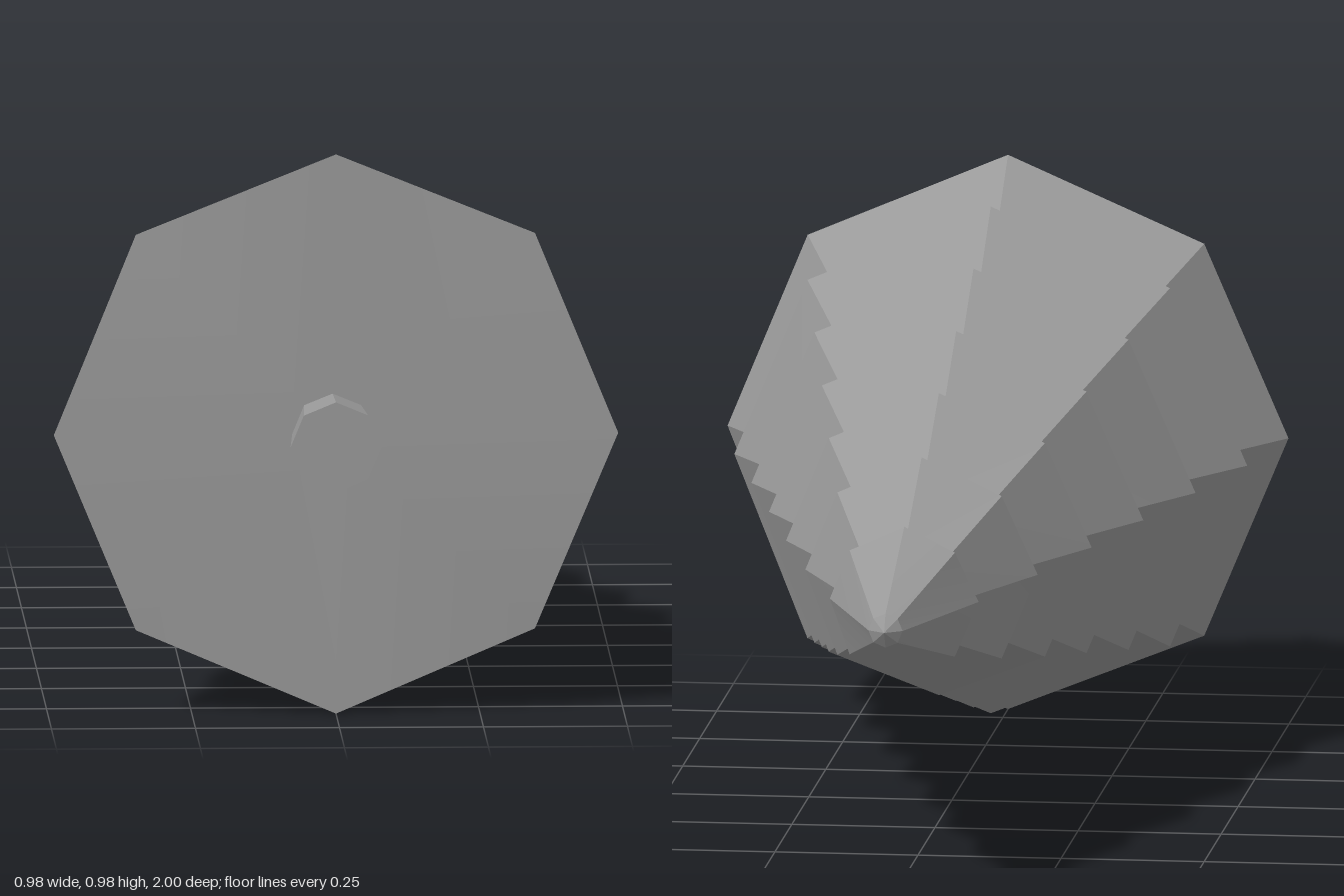
import * as THREE from 'three';
import { toCreasedNormals } from 'three/addons/utils/BufferGeometryUtils.js';

const SIDES = 8;
const material = new THREE.MeshStandardMaterial({ color: 0x999999 });

// Skins rings of [radius, z, zig]; odd corners are lifted toward the tip by zig.
// Rings run from the base (+z) to the tip (-z).
function skinRings(rings) {
  const pos = [];
  const point = ([r, z, zig = 0], j) => {
    const a = (j / SIDES) * Math.PI * 2;
    return [r * Math.cos(a), r * Math.sin(a), z - (j % 2 ? zig : 0)];
  };
  for (let i = 0; i < rings.length - 1; i++) {
    const lo = rings[i], hi = rings[i + 1];
    for (let j = 0; j < SIDES; j++) {
      const a = point(lo, j), b = point(lo, j + 1);
      const c = point(hi, j), d = point(hi, j + 1);
      if (lo[0] > 0) pos.push(...a, ...c, ...b);
      if (hi[0] > 0) pos.push(...b, ...c, ...d);
    }
  }
  const geo = new THREE.BufferGeometry();
  geo.setAttribute('position', new THREE.Float32BufferAttribute(pos, 3));
  return toCreasedNormals(geo, 0.4);
}

export function createModel() {
  const group = new THREE.Group();
  group.name = 'lyingFirTree';

  // Foliage: seven stacked skirts, each [hem radius, hem z, radius under the next hem]
  const tiers = [
    [0.49, 0.827, 0.33],
    [0.448, 0.573, 0.287],
    [0.388, 0.318, 0.24],
    [0.327, 0.063, 0.187],
    [0.267, -0.192, 0.137],
    [0.203, -0.447, 0.09],
    [0.13, -0.702, 0],
  ];
  const rings = [[0, 0.83]];
  tiers.forEach(([hem, z, neck], i) => {
    rings.push([hem, z, 0.03]);
    if (neck > 0) rings.push([neck, tiers[i + 1][1] - 0.003, 0.017]);
  });
  rings.push([0.03, -0.978], [0, -1]); // blunt tip
  const foliage = new THREE.Mesh(skinRings(rings), material);
  foliage.name = 'foliage';
  foliage.position.y = 0.491;
  group.add(foliage);

  // Trunk: short octagonal stub, flared at the foot
  const trunk = new THREE.Mesh(
    skinRings([[0, 1], [0.079, 1], [0.068, 0.79]]),
    material
  );
  trunk.name = 'trunk';
  trunk.position.set(-0.006, 0.492, 0);
  group.add(trunk);

  return group;
}
